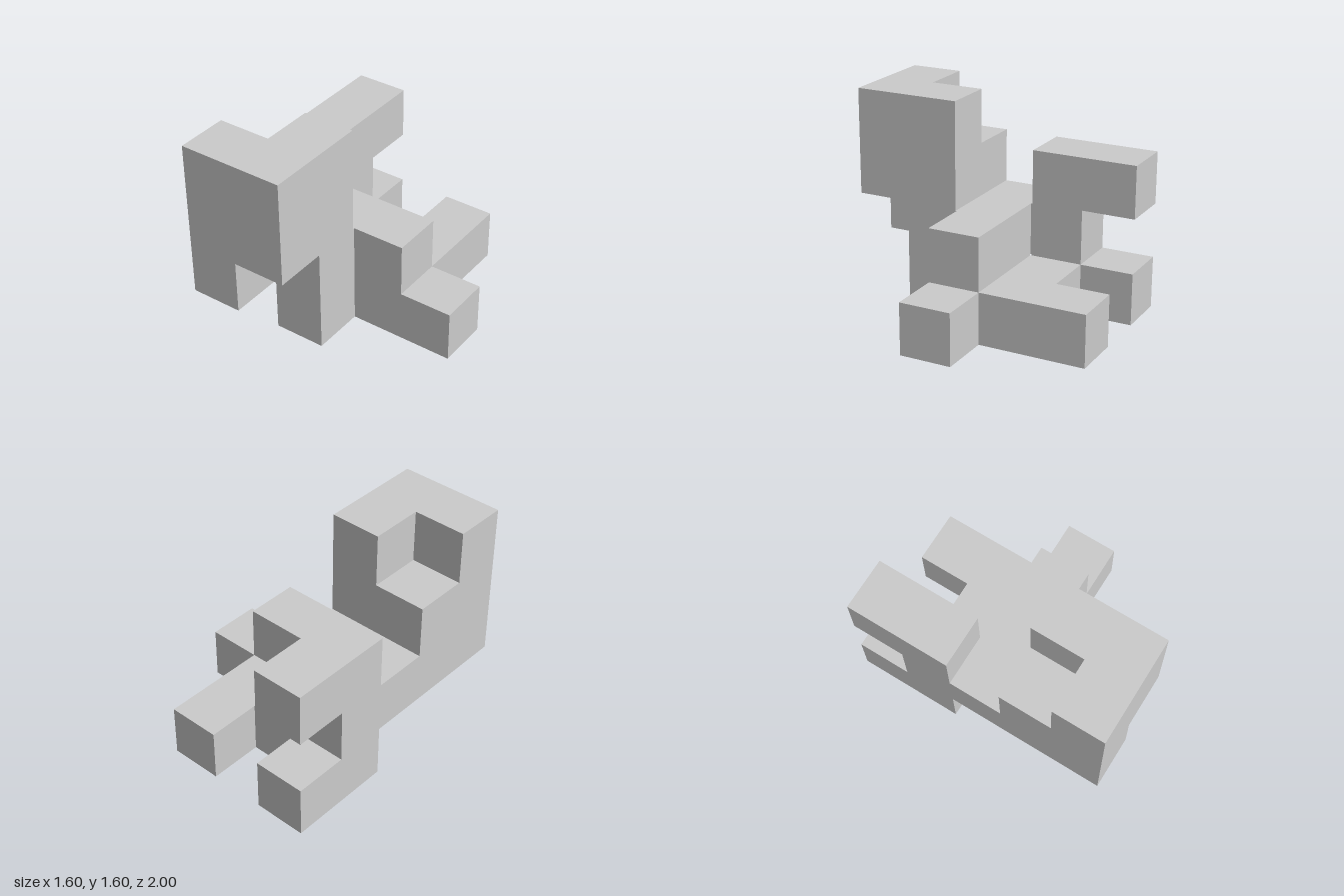
import * as THREE from 'three';

const CELL = 0.402;   // spacing of the cube grid
const INSET = 0.0125; // clearance trimmed off every outer face, in cells
const SIZE = [4, 4, 5];

// Runs of cubes, as inclusive cell ranges: [x0, x1, y0, y1, z0, z1]
const runs = [
  [0, 0, 1, 3, 4, 4], // tower front, outer column
  [1, 1, 2, 3, 4, 4], // tower front, overhang
  [1, 1, 0, 3, 3, 3], // tower leg
  [0, 0, 1, 2, 3, 3], // step behind the tower
  [0, 0, 1, 1, 2, 2], // bridge to the back post
  [0, 0, 0, 2, 1, 1], // back post
  [0, 0, 2, 2, 0, 0], // upper back arm
  [0, 0, 0, 0, 0, 0], // lower back arm
  [1, 2, 0, 1, 2, 2], // middle wall
  [3, 3, 0, 0, 2, 2], // low side foot
  [1, 2, 0, 0, 1, 1], // back floor
  [2, 2, 0, 0, 0, 0], // second back arm
];

const hasCube = (p) => runs.some((r) => p.every((v, a) => v >= r[2 * a] && v <= r[2 * a + 1]));

// Each axis is cut into cube cores (odd slots) and thin joints between cubes (even slots)
const touched = (s) => (s % 2 ? [(s - 1) / 2] : [s / 2 - 1, s / 2]);
const edge = (s) => (s % 2 ? (s - 1) / 2 + INSET : s / 2 - INSET);

// A slot is solid only when every cube it touches is present
function isSolid([i, j, k]) {
  return touched(i).every((x) => touched(j).every((y) => touched(k).every((z) => hasCube([x, y, z]))));
}

function createBody() {
  const positions = [];
  const place = (p) => [
    (edge(p[0]) - SIZE[0] / 2) * CELL,
    (edge(p[1]) - INSET) * CELL,
    (edge(p[2]) - SIZE[2] / 2) * CELL,
  ];

  // Skin the boundary between solid and empty slots
  const addFaces = (slot) => {
    for (let a = 0; a < 3; a++) {
      for (const dir of [0, 1]) {
        const next = [...slot];
        next[a] += dir ? 1 : -1;
        if (isSolid(next)) continue;
        const u = (a + 1) % 3, v = (a + 2) % 3;
        const corners = [[0, 0], [1, 0], [1, 1], [0, 1]].map(([du, dv]) => {
          const c = [...slot];
          c[a] += dir;
          c[u] += du;
          c[v] += dv;
          return place(c);
        });
        if (!dir) corners.reverse();
        for (const n of [0, 1, 2, 0, 2, 3]) positions.push(...corners[n]);
      }
    }
  };

  for (let i = 0; i <= 2 * SIZE[0]; i++)
    for (let j = 0; j <= 2 * SIZE[1]; j++)
      for (let k = 0; k <= 2 * SIZE[2]; k++)
        if (isSolid([i, j, k])) addFaces([i, j, k]);

  const geometry = new THREE.BufferGeometry();
  geometry.setAttribute('position', new THREE.Float32BufferAttribute(positions, 3));
  geometry.computeVertexNormals();
  return geometry;
}

export function createModel() {
  const group = new THREE.Group();
  group.name = 'cubePuzzlePiece';
  const material = new THREE.MeshStandardMaterial({ color: 0xcccccc, flatShading: true });
  const body = new THREE.Mesh(createBody(), material);
  body.name = 'joinedCubes';
  group.add(body);
  return group;
}
